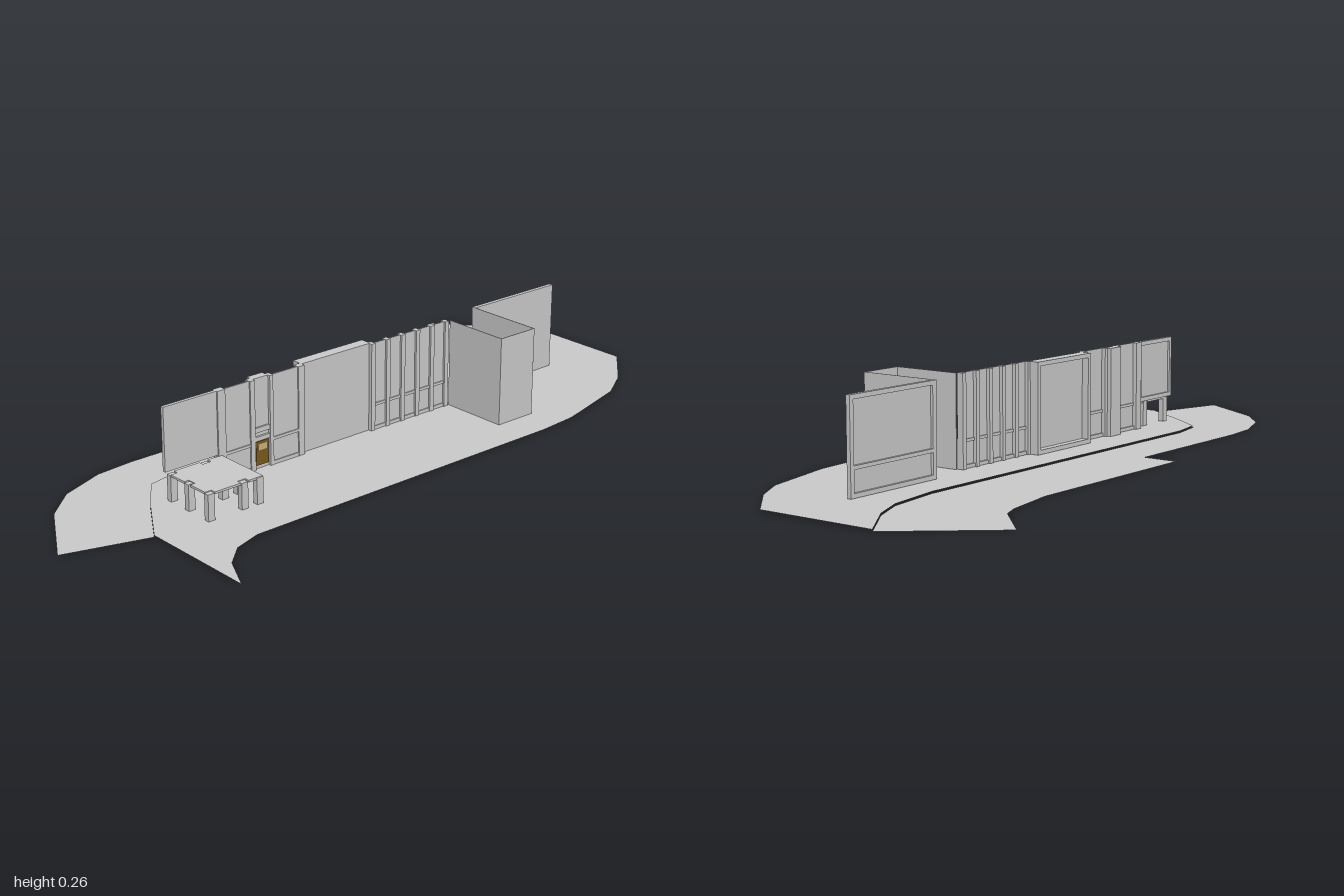
import * as THREE from 'three';

const H = 0.257, BASE = 0.006;

export function createModel() {
  const model = new THREE.Group();
  const grey = new THREE.MeshStandardMaterial({ color: 0xcccccc, side: THREE.DoubleSide, flatShading: true });
  const brown = new THREE.MeshStandardMaterial({ color: 0x7a5a1e });
  const tan = new THREE.MeshStandardMaterial({ color: 0xc9b27a });

  // Box given by its extents on each axis
  const block = (name, x0, x1, y0, y1, z0, z1, mat = grey, parent = model) => {
    const mesh = new THREE.Mesh(new THREE.BoxGeometry(x1 - x0, y1 - y0, z1 - z0), mat);
    mesh.position.set((x0 + x1) / 2, (y0 + y1) / 2, (z0 + z1) / 2);
    mesh.name = name;
    parent.add(mesh);
    return mesh;
  };
  const group = (name) => {
    const g = new THREE.Group();
    g.name = name;
    model.add(g);
    return g;
  };
  // Flat horizontal sheet from [x, z] outline points
  const sheet = (name, pts, y) => {
    const shape = new THREE.Shape(pts.map(([x, z]) => new THREE.Vector2(x, -z)));
    const mesh = new THREE.Mesh(new THREE.ShapeGeometry(shape).rotateX(-Math.PI / 2), grey);
    mesh.position.y = y;
    mesh.name = name;
    model.add(mesh);
  };

  // Ground: low road on the right, raised pavement on the left, meeting at the kerb
  const kerb = [[-0.27, -1], [-0.17, -0.86], [-0.125, -0.76], [-0.1, -0.6], [-0.1, 0.5], [-0.08, 0.6], [0.03, 0.68], [0.17, 0.77]];
  sheet('road', [...kerb, [0.1, 1], [-0.1, 0.88], [-0.18, 0.79], [-0.23, 0.66], [-0.24, 0.55], [-0.24, 0.115],
    [-0.34, 0.115], [-0.34, -0.46], [-0.37, -0.62], [-0.39, -0.67], [-0.515, -0.795]], 0);
  sheet('pavement', [[0.08, -1], [0.2, -0.87], [0.26, -0.77], [0.32, -0.54], [0.33, -0.42], [0.33, 0.58],
    [0.355, 0.66], [0.41, 0.72], [0.51, 0.77], ...kerb.slice().reverse()], 0.005);

  // Framed wall panel: thin back, raised border and optional rail
  const framedPanel = (name, x0, x1, z0, z1, post, rail, y0 = BASE) => {
    const g = group(name);
    const xm = x1 - (x1 - x0) * 0.4;
    block('panel', xm, x1, y0, H, z0, z1, grey, g);
    block('firstPost', x0, xm, y0, H, z0, z0 + post, grey, g);
    block('lastPost', x0, xm, y0, H, z1 - post, z1, grey, g);
    block('header', x0, xm, H - 0.012, H, z0 + post, z1 - post, grey, g);
    block('sill', x0, xm, y0, y0 + 0.012, z0 + post, z1 - post, grey, g);
    if (rail) block('rail', x0, xm, 0.075, 0.085, z0 + post, z1 - post, grey, g);
  };
  framedPanel('rearWindowWall', -0.012, 0, -0.79, -0.475, 0.013, true);
  framedPanel('middleWall', -0.014, 0.02, -0.06, 0.18, 0.012, false);
  framedPanel('frontUpperWall', 0.018, 0.028, 0.465, 0.63, 0.01, false, 0.082);

  // Open-topped bay behind the facade
  const bay = group('bay');
  const t = 0.002;
  block('bayFrontWall', 0.028, 0.228, BASE, H, -0.348 - t, -0.348, grey, bay);
  block('bayRearWall', -0.012, 0.228, BASE, H, -0.476, -0.476 + t, grey, bay);
  block('baySideWall', 0.228 - t, 0.228, BASE, H, -0.476 + t, -0.348 - t, grey, bay);

  // Row of pilasters with narrow windows between them
  const row = group('pilasterRow');
  const count = 6, step = 0.0545, first = -0.342;
  for (let i = 0; i < count; i++) {
    const z = first + i * step;
    block('pilaster', 0.012, 0.031, BASE, H, z, z + 0.014, grey, row);
    if (i === count - 1) continue;
    block('window', 0.022, 0.025, BASE, H, z + 0.014, z + step, grey, row);
    block('windowRail', 0.019, 0.028, 0.075, 0.083, z + 0.014, z + step, grey, row);
    block('windowSill', 0.017, 0.028, BASE, 0.016, z + 0.014, z + step, grey, row);
  }

  // Front window sections and the piers between them
  const front = group('frontWindows');
  for (const [z0, z1] of [[0.2, 0.285], [0.36, 0.44]]) {
    block('window', 0.024, 0.028, BASE, H, z0, z1, grey, front);
    block('windowRail', 0.021, 0.031, 0.075, 0.083, z0, z1, grey, front);
    block('windowSill', 0.019, 0.031, BASE, 0.016, z0, z1, grey, front);
  }
  for (const [z0, z1] of [[0.18, 0.2], [0.285, 0.296], [0.345, 0.36], [0.44, 0.465]]) {
    block('pier', 0.012, 0.032, BASE, H, z0, z1, grey, front);
  }

  // Entrance bay with its coloured door
  const entrance = group('entrance');
  block('entranceWall', 0, 0.024, BASE, H, 0.296, 0.345, grey, entrance);
  block('lintel', 0.024, 0.03, 0.085, 0.097, 0.296, 0.345, grey, entrance);
  block('signBand', 0.024, 0.029, 0.108, 0.122, 0.296, 0.345, grey, entrance);
  block('door', 0.024, 0.028, 0.016, 0.083, 0.3, 0.341, brown, entrance);
  block('doorPane', 0.028, 0.029, 0.058, 0.076, 0.306, 0.335, tan, entrance);

  // Low canopy, notched around the middle posts
  const canopy = group('canopy');
  const outline = [[0.03, 0.455], [0.198, 0.455], [0.198, 0.5], [0.184, 0.5], [0.184, 0.525], [0.198, 0.525],
    [0.198, 0.605], [0.184, 0.605], [0.184, 0.625], [0.125, 0.625], [0.125, 0.611], [0.1, 0.611], [0.1, 0.625], [0.044, 0.625],
    [0.044, 0.605], [0.03, 0.605], [0.03, 0.525], [0.044, 0.525], [0.044, 0.5], [0.03, 0.5]];
  const roofShape = new THREE.Shape(outline.map(([x, z]) => new THREE.Vector2(x, -z)));
  const roof = new THREE.Mesh(
    new THREE.ExtrudeGeometry(roofShape, { depth: 0.006, bevelEnabled: false }).rotateX(-Math.PI / 2), grey);
  roof.position.y = 0.074;
  roof.name = 'canopyRoof';
  canopy.add(roof);
  for (const x of [0.038, 0.111, 0.191]) {
    for (const z of [0.465, 0.513, 0.617]) {
      block('canopyPost', x - 0.008, x + 0.008, BASE, 0.078, z - 0.01, z + 0.01, grey, canopy);
    }
  }
  return model;
}
